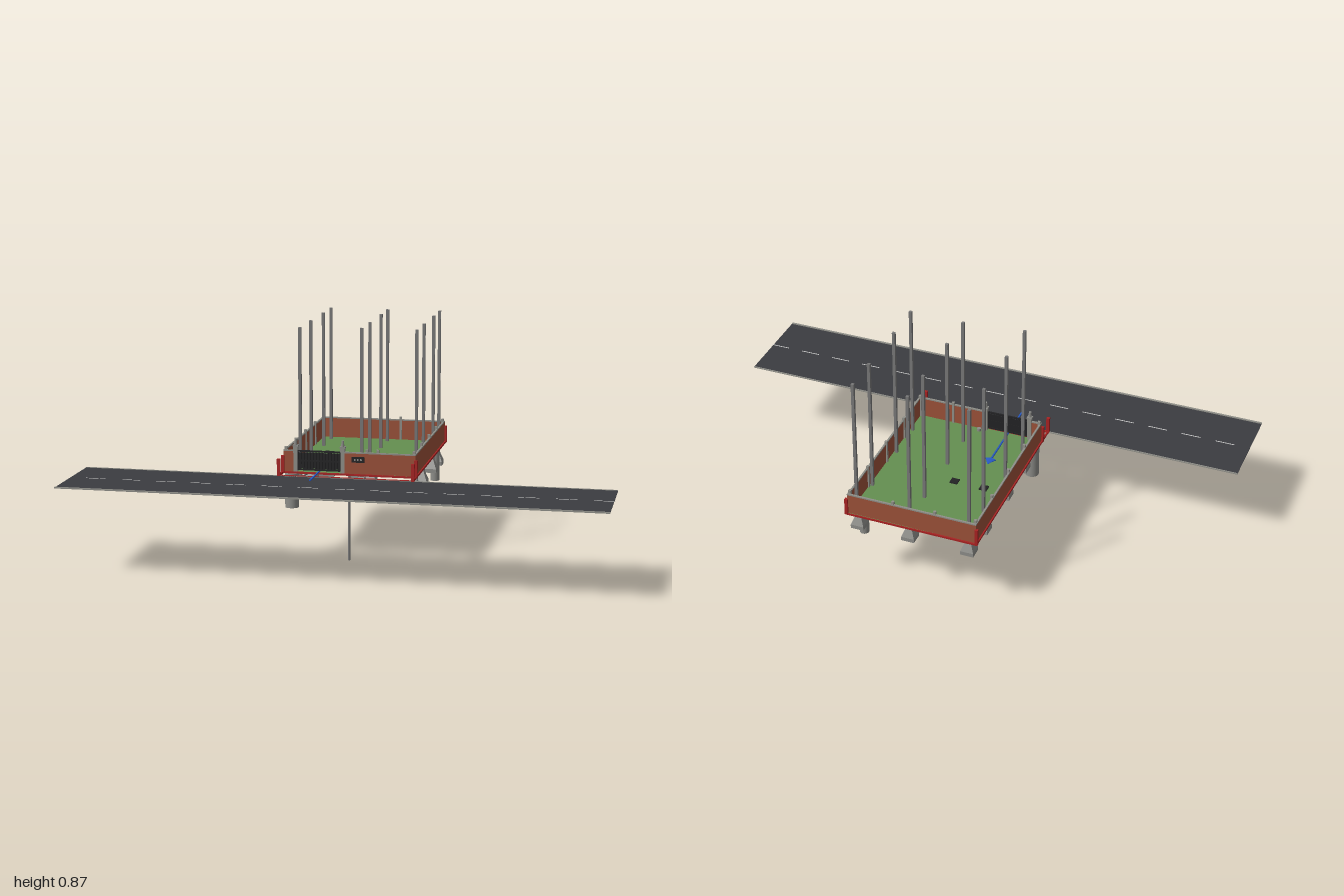
import * as THREE from 'three';

const material = (color) => new THREE.MeshStandardMaterial({ color });
const M = {
  road: material(0x3b3c40), grass: material(0x648f50), brick: material(0x9a5038),
  red: material(0xa82222), coping: material(0x8f8f88), steel: material(0x777777),
  concrete: material(0x8c8c88), dark: material(0x222224), white: material(0xdddddd),
  blue: material(0x2456c0), pipe: material(0x666a6e),
};

export function createModel() {
  const root = new THREE.Group();

  const add = (name, geometry, mat, x, y, z, parent = root) => {
    const mesh = new THREE.Mesh(geometry, mat);
    mesh.name = name;
    mesh.position.set(x, y, z);
    parent.add(mesh);
    return mesh;
  };
  // box given by its limits
  const box = (name, mat, x0, x1, y0, y1, z0, z1, parent) => add(name,
    new THREE.BoxGeometry(x1 - x0, y1 - y0, z1 - z0), mat,
    (x0 + x1) / 2, (y0 + y1) / 2, (z0 + z1) / 2, parent);
  const group = (name) => {
    const g = new THREE.Group();
    g.name = name;
    root.add(g);
    return g;
  };
  // straight round bar between two points
  const rod = (name, mat, a, b, r, parent) => {
    const path = new THREE.LineCurve3(new THREE.Vector3(...a), new THREE.Vector3(...b));
    return add(name, new THREE.TubeGeometry(path, 1, r, 10), mat, 0, 0, 0, parent);
  };

  // Road with kerbs and dashed centre line
  const road = group('road');
  box('roadSurface', M.road, -1, 1, 0.331, 0.333, 0.2, 0.555, road);
  box('nearKerb', M.coping, -1, 1, 0.331, 0.336, 0.552, 0.56, road);
  box('farKerb', M.coping, -1, 1, 0.331, 0.335, 0.198, 0.203, road);
  for (let i = 0; i < 15; i++) {
    const x = -0.94 + i * 0.1335;
    box('laneDash', M.white, x, x + 0.075, 0.333, 0.3337, 0.376, 0.38, road);
  }

  // Plot of land and its red boundary
  box('lawn', M.grass, -0.25, 0.25, 0.331, 0.337, -0.555, 0.132);
  const boundary = group('boundary');
  for (const s of [-1, 1]) {
    box('sideLine', M.red, s * 0.252 - 0.003, s * 0.252 + 0.003, 0.33, 0.338, -0.558, 0.2, boundary);
    for (const z of [-0.554, 0.135, 0.2]) {
      box('cornerMarker', M.red, s * 0.252 - 0.006, s * 0.252 + 0.006, 0.332, 0.398, z - 0.006, z + 0.006, boundary);
    }
  }
  for (const z of [-0.556, 0.133, 0.2]) {
    box('crossLine', M.red, -0.252, 0.252, 0.33, 0.337, z - 0.003, z + 0.003, boundary);
  }

  // Brick fence with coping and thin piers
  const fence = group('fence');
  const wall = (x0, x1, z0, z1) => {
    box('brickWall', M.brick, x0, x1, 0.335, 0.414, z0, z1, fence);
    box('wallCoping', M.coping, x0, x1, 0.414, 0.419, z0, z1, fence);
  };
  const pier = (x, z) => box('fencePier', M.coping, x - 0.005, x + 0.005, 0.335, 0.43, z - 0.005, z + 0.005, fence);
  wall(-0.25, -0.243, -0.545, 0.13);
  wall(0.243, 0.25, -0.545, 0.13);
  wall(-0.25, 0.25, -0.553, -0.546);
  wall(-0.25, -0.21, 0.124, 0.131);
  wall(-0.02, 0.25, 0.124, 0.131);
  for (const z of [-0.54, -0.38, -0.21, -0.042, 0.121]) {
    pier(-0.243, z);
    pier(0.243, z);
  }
  for (const x of [-0.09, 0.072]) pier(x, -0.546);
  for (const x of [0.066, 0.107]) pier(x, 0.124);

  // Gate: frame, bars, posts and post lamps
  const gate = group('gate');
  box('gateBackPanel', M.dark, -0.196, -0.034, 0.35, 0.41, 0.127, 0.129, gate);
  for (const y of [0.346, 0.38, 0.416]) {
    box('gateRail', M.dark, -0.196, -0.034, y - 0.003, y + 0.003, 0.126, 0.132, gate);
  }
  for (let i = 0; i <= 14; i++) {
    const x = -0.195 + i * 0.0114;
    box('gateBar', M.dark, x - 0.0015, x + 0.0015, 0.345, 0.418, 0.127, 0.132, gate);
  }
  for (const x of [-0.204, -0.025]) {
    box('gatePost', M.coping, x - 0.008, x + 0.008, 0.335, 0.432, 0.118, 0.134, gate);
    box('postCap', M.concrete, x - 0.01, x + 0.01, 0.432, 0.438, 0.116, 0.136, gate);
    add('postLamp', new THREE.CylinderGeometry(0.005, 0.006, 0.022, 10), M.concrete, x, 0.449, 0.127, gate);
  }

  // Meter cabinet on the front wall
  box('meterBox', M.dark, 0.01, 0.058, 0.381, 0.402, 0.13, 0.136);
  for (const x of [0.022, 0.034, 0.046]) box('meterDial', M.concrete, x - 0.003, x + 0.003, 0.388, 0.395, 0.136, 0.137);

  // Entrance arrow lying on the ground
  const arrow = group('entranceArrow');
  box('arrowShaft', M.blue, -0.119, -0.113, 0.337, 0.341, -0.085, 0.28, arrow);
  const head = add('arrowHead', new THREE.ConeGeometry(0.022, 0.035, 12), M.blue, -0.116, 0.341, -0.075, arrow);
  head.rotation.x = -Math.PI / 2;
  head.scale.z = 0.25;

  // Columns on stepped, tapered footings
  const taper = new THREE.CylinderGeometry(0.011 * Math.SQRT2, 0.025 * Math.SQRT2, 0.037, 4, 1).toNonIndexed();
  taper.rotateY(Math.PI / 4);
  taper.computeVertexNormals();
  for (const x of [-0.205, 0.025, 0.233]) {
    for (const z of [x < 0 ? 0.046 : 0.018, -0.14, -0.365, -0.505]) {
      const column = group('columnWithFooting');
      // footings by the boundary are shifted inwards
      const fx = x > 0.2 ? 0.225 : x;
      box('footingBase', M.concrete, fx - 0.025, fx + 0.025, 0.25, 0.265, z - 0.025, z + 0.025, column);
      add('footingTaper', taper, M.concrete, fx, 0.2835, z, column);
      box('columnShaft', M.steel, x - 0.0055, x + 0.0055, 0.3, 0.868, z - 0.0055, z + 0.0055, column);
    }
  }

  // Underground tanks with hatches
  const tanks = group('undergroundTanks');
  box('smallTank', M.concrete, -0.188, -0.125, 0.252, 0.329, -0.295, -0.18, tanks);
  box('largeTank', M.concrete, -0.067, -0.003, 0.231, 0.329, -0.3, -0.178, tanks);
  for (const x of [-0.157, -0.041]) box('tankHatch', M.dark, x - 0.015, x + 0.015, 0.329, 0.341, -0.25, -0.22, tanks);

  // Inspection and soak pits
  const pits = group('pits');
  add('frontPit', new THREE.CylinderGeometry(0.026, 0.026, 0.131, 24), M.concrete, -0.224, 0.2605, 0.106, pits);
  add('rearPit', new THREE.CylinderGeometry(0.018, 0.018, 0.131, 24), M.concrete, 0.226, 0.2605, -0.463, pits);
  add('frontPitCover', new THREE.CylinderGeometry(0.01, 0.01, 0.01, 16), M.dark, -0.224, 0.334, 0.112, pits);
  add('rearPitCover', new THREE.CylinderGeometry(0.006, 0.006, 0.01, 16), M.dark, 0.226, 0.334, -0.467, pits);

  // Buried pipes and the deep well shaft
  const pipes = group('buriedPipes');
  rod('tankPipe', M.pipe, [-0.21, 0.3, 0.1], [-0.157, 0.3, -0.18], 0.003, pipes);
  rod('rearPipe', M.pipe, [0.226, 0.312, -0.47], [0.185, 0.312, -0.515], 0.003, pipes);
  add('wellShaft', new THREE.CylinderGeometry(0.005, 0.005, 0.336, 12), M.steel, -0.005, 0.168, 0.107, pipes);
  add('wellCap', new THREE.CylinderGeometry(0.008, 0.008, 0.012, 12), M.concrete, -0.005, 0.342, 0.107, pipes);

  return root;
}
